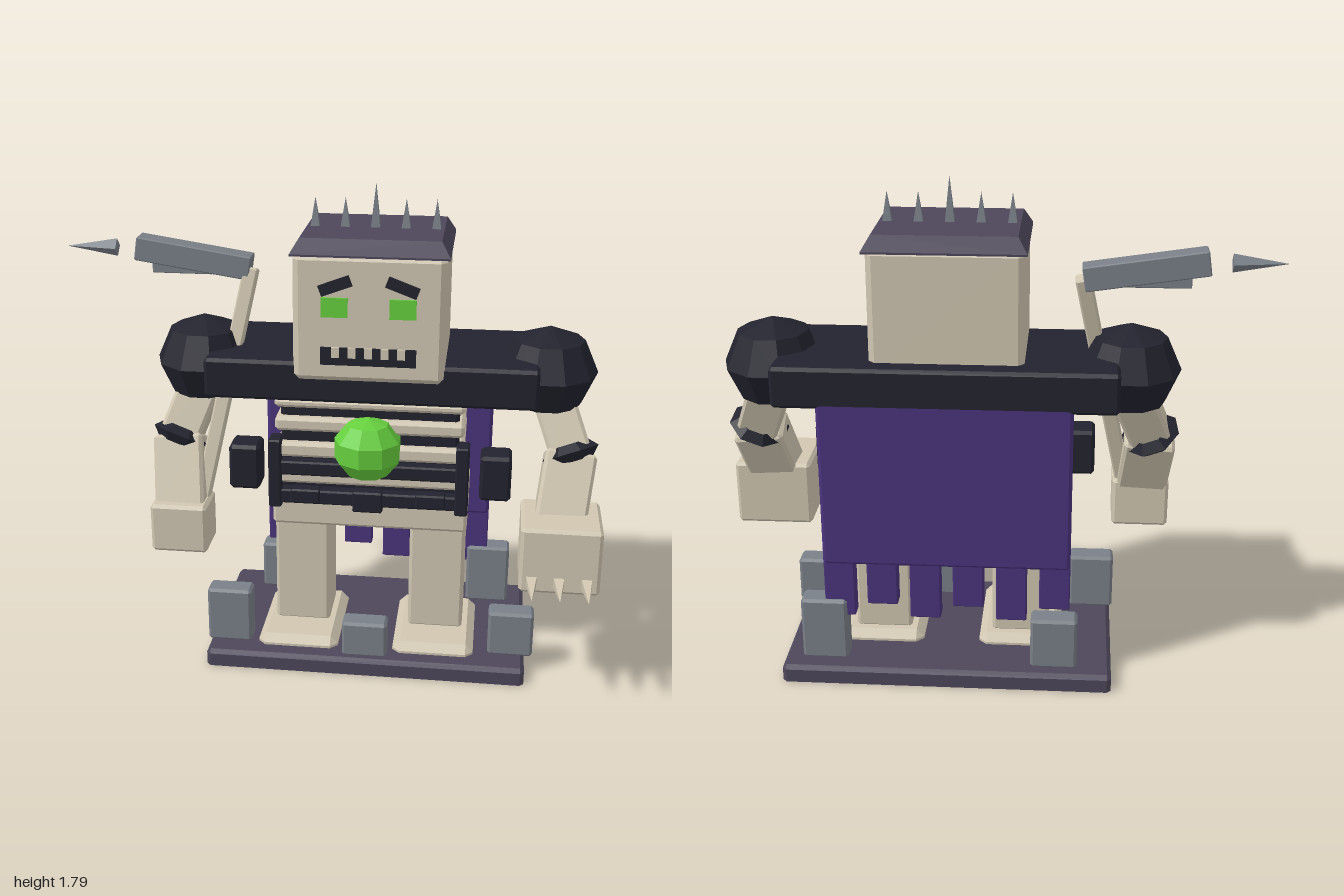
import * as THREE from 'three';
import { ConvexGeometry } from 'three/addons/geometries/ConvexGeometry.js';

const mat = (name, color, side = THREE.FrontSide) => {
  const m = new THREE.MeshStandardMaterial({ color, side });
  m.name = name;
  return m;
};

export function createModel() {
  const root = new THREE.Group();
  root.name = 'skeletonWarrior';
  const bone = mat('bone', 0xd0c6b1, THREE.DoubleSide);
  const black = mat('blackIron', 0x22232e);
  const slate = mat('slate', 0x4d475a, THREE.DoubleSide);
  const purple = mat('purpleCloth', 0x4b337c);
  const green = mat('glowGreen', 0x66cf3e);
  const steel = mat('steel', 0x7a8088);
  const CX = 0.155; // body centre line

  const add = (name, geo, material, x = 0, y = 0, z = 0) => {
    const m = new THREE.Mesh(geo, material);
    m.name = name;
    m.position.set(x, y, z);
    root.add(m);
    return m;
  };
  const faceted = (geo) => {
    const g = geo.toNonIndexed();
    g.computeVertexNormals();
    return g;
  };

  // Box with chamfered edges
  const chamferBox = (w, h, d, b) => {
    const pts = [];
    for (const sx of [-1, 1]) for (const sy of [-1, 1]) for (const sz of [-1, 1])
      for (let k = 0; k < 3; k++)
        pts.push(new THREE.Vector3(
          sx * (w / 2 - (k === 0 ? 0 : b)),
          sy * (h / 2 - (k === 1 ? 0 : b)),
          sz * (d / 2 - (k === 2 ? 0 : b))));
    return new ConvexGeometry(pts);
  };
  // Removes the faces that point down, leaving a hollow shell
  const openBottom = (geo) => {
    const p = geo.attributes.position, n = geo.attributes.normal, keep = [];
    for (let i = 0; i < p.count; i += 3)
      if (n.getY(i) > -0.3)
        for (let j = i; j < i + 3; j++) keep.push(p.getX(j), p.getY(j), p.getZ(j));
    const g = new THREE.BufferGeometry();
    g.setAttribute('position', new THREE.Float32BufferAttribute(keep, 3));
    g.computeVertexNormals();
    return g;
  };
  // Block given by its limits on each axis
  const block = (name, material, x0, x1, y0, y1, z0, z1, b = 0.012, open = false) => {
    const g = chamferBox(x1 - x0, y1 - y0, z1 - z0, b);
    return add(name, open ? openBottom(g) : g, material, (x0 + x1) / 2, (y0 + y1) / 2, (z0 + z1) / 2);
  };
  const plate = (name, material, x, y, z, w, h, d = 0.009) =>
    add(name, new THREE.BoxGeometry(w, h, d), material, x, y, z);
  const spike = (name, material, r, h, x, y, z) =>
    add(name, faceted(new THREE.ConeGeometry(r, h, 4)), material, x, y, z);
  // Aligns a mesh's own axis with the line from a to b
  const limb = (name, material, a, b, w, d, bevel = 0.012) => {
    const A = new THREE.Vector3(...a), B = new THREE.Vector3(...b);
    const dir = B.clone().sub(A), mid = A.clone().add(B).multiplyScalar(0.5);
    const m = add(name, chamferBox(w, dir.length(), d, bevel), material, mid.x, mid.y, mid.z);
    m.quaternion.setFromUnitVectors(new THREE.Vector3(0, 1, 0), dir.normalize());
    return m;
  };

  // Hollow base with rocks
  block('base', slate, -0.44, 0.755, 0, 0.08, -0.462, 0.23, 0.015, true);
  for (const [x, top, z] of [[-0.365, 0.29, 0.095], [-0.23, 0.27, -0.365], [0.157, 0.215, 0.155],
    [0.605, 0.315, -0.347], [0.7, 0.252, 0.078]])
    block('rock', steel, x - 0.084, x + 0.084, 0.075, top, z - 0.044, z + 0.044, 0.01);

  // Feet, legs and pelvis
  for (const s of [-1, 1]) {
    const x = CX + s * 0.256;
    block('foot', bone, x - 0.152, x + 0.152, 0.02, 0.117, -0.265, 0.16, 0.028, true);
    block('leg', bone, x - 0.104, x + 0.104, 0.11, 0.56, -0.215, 0);
  }
  block('pelvis', bone, -0.205, 0.52, 0.545, 0.68, -0.285, 0.06);

  // Rib cage around a dark core
  block('torsoCore', black, -0.17, 0.48, 0.66, 1.08, -0.275, 0.06);
  for (const [y0, y1] of [[1.02, 1.055], [0.93, 0.983], [0.828, 0.885], [0.725, 0.785]])
    block('rib', bone, -0.188, 0.5, y0, y1, -0.3, 0.09);

  // Front harness
  for (const y of [0.79, 0.678]) block('harnessBar', black, -0.19, 0.5, y - 0.027, y + 0.027, 0.05, 0.105, 0.006);
  for (const s of [-1, 1]) {
    const x = CX + s * 0.342;
    block('harnessPost', black, x - 0.024, x + 0.024, 0.635, 0.9, 0.03, 0.112, 0.006);
    block('sidePouch', black, CX + s * 0.462 - 0.057, CX + s * 0.462 + 0.057, 0.685, 0.857, -0.045, 0.075);
  }
  for (const dx of [-0.23, 0, 0.23])
    block('harnessStud', black, CX + dx - 0.055, CX + dx + 0.055, dx ? 0.655 : 0.63, 0.71, 0.06, 0.112, 0.006);
  const gem = add('chestGem', faceted(new THREE.SphereGeometry(0.128, 9, 5)), green, CX, 0.885, 0.108);
  gem.scale.y = 0.92;

  // Cape with a tattered hem
  block('cape', purple, -0.285, 0.6, 0.46, 1.08, -0.385, -0.305);
  for (let i = 0; i < 6; i++) {
    const x = -0.23 + i * 0.155;
    block('capeTatter', purple, x - 0.055, x + 0.055, i % 2 ? 0.25 : 0.3, 0.5, -0.375, -0.315, 0.004);
  }

  // Shoulders
  block('shoulderBar', black, -0.44, 0.755, 1.055, 1.203, -0.385, 0.115);
  for (const s of [-1, 1]) {
    const p = add('pauldron', faceted(new THREE.SphereGeometry(0.187, 10, 4)), black, CX + s * 0.635, 1.135, -0.118);
    p.scale.set(0.96, 0.9, 1.02);
  }

  // Arms, elbow rings and hands
  const arms = [
    { shoulder: [-0.48, 1.07, -0.12], elbow: [-0.565, 0.85, -0.03], wrist: [-0.54, 0.6, 0.085] },
    { shoulder: [0.8, 1.07, -0.12], elbow: [0.885, 0.85, -0.03], wrist: [0.85, 0.6, 0.1] },
  ];
  for (const { shoulder, elbow, wrist } of arms) {
    limb('upperArm', bone, elbow, shoulder, 0.15, 0.13);
    limb('forearm', bone, wrist, elbow, 0.185, 0.14);
    const ring = add('elbowRing', faceted(new THREE.TorusGeometry(0.08, 0.032, 4, 8)), black, ...elbow);
    const dir = new THREE.Vector3(...shoulder).sub(new THREE.Vector3(...elbow)).normalize();
    ring.quaternion.setFromUnitVectors(new THREE.Vector3(0, 0, 1), dir);
  }
  block('rightHand', bone, -0.645, -0.435, 0.46, 0.647, 0, 0.18);
  block('leftHand', bone, 0.714, 1.0, 0.428, 0.676, 0, 0.277);
  for (const x of [0.757, 0.853, 0.95])
    spike('claw', bone, 0.026, 0.145, x, 0.49, 0.38).rotation.set(Math.PI / 2, Math.PI / 4, 0);

  // Scythe-like weapon
  limb('weaponHandle', bone, [-0.49, 0.55, 0.07], [-0.305, 1.475, -0.15], 0.055, 0.055, 0.006);
  const head = add('weaponBlade', chamferBox(0.43, 0.087, 0.085, 0.004), steel, -0.52, 1.508, -0.158);
  head.rotation.z = -0.15;
  block('weaponEdge', steel, -0.675, -0.45, 1.447, 1.52, -0.18, -0.136, 0.003);
  spike('weaponTip', steel, 0.033, 0.19, -0.905, 1.534, -0.158).rotation.z = Math.PI / 2;

  // Head
  block('head', bone, -0.113, 0.423, 1.14, 1.6, -0.31, 0.134, 0.022);
  const cap = [];
  for (const sx of [-1, 1]) for (const sz of [-1, 1])
    for (const [y, hx, hz] of [[1.59, 0.277, 0.235], [1.597, 0.277, 0.235], [1.65, 0.245, 0.207]])
      cap.push(new THREE.Vector3(CX + sx * hx, y, -0.1 + sz * hz));
  add('cap', new ConvexGeometry(cap), slate);
  for (let i = -2; i <= 2; i++) {
    const h = i === 0 ? 0.165 : 0.11;
    spike('capSpike', steel, 0.024, h, CX + i * 0.108, 1.643 + h / 2, -0.1).rotation.y = Math.PI / 4;
  }

  // Face
  for (const s of [-1, 1]) {
    plate('eye', green, CX + s * 0.119, 1.415, 0.138, 0.093, 0.07);
    plate('brow', black, CX + s * 0.117, 1.492, 0.138, 0.115, 0.04).rotation.z = -s * 0.36;
  }
  plate('mouth', black, CX, 1.239, 0.137, 0.336, 0.064);
  for (let i = -2; i <= 2; i++)
    plate('tooth', bone, CX + i * 0.058, 1.253, 0.14, 0.028, 0.037);
  return root;
}
